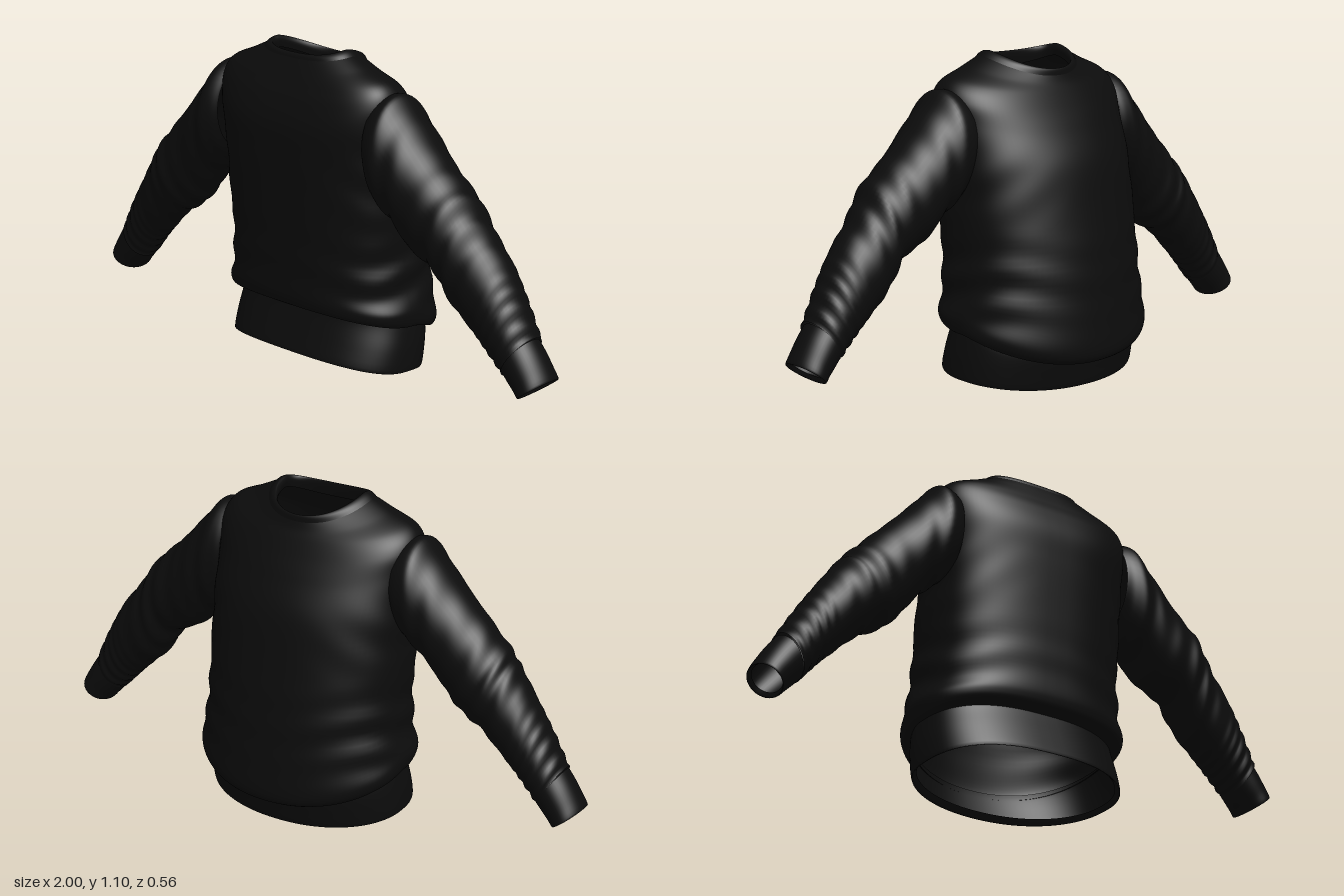
import * as THREE from 'three';

const fabric = new THREE.MeshStandardMaterial({ color: 0x0c0c0c, side: THREE.DoubleSide });
fabric.name = 'black fabric';

// Smooth interpolation through rows of numbers, t in 0..1
function sampleRows(rows, t) {
  const f = t * (rows.length - 1);
  const i = Math.min(Math.floor(f), rows.length - 2);
  const u = f - i;
  const at = k => rows[Math.max(0, Math.min(rows.length - 1, k))];
  return rows[0].map((_, k) => {
    const [a, b, c, d] = [at(i - 1)[k], at(i)[k], at(i + 1)[k], at(i + 2)[k]];
    return b + 0.5 * u * (c - a + u * (2 * a - 5 * b + 4 * c - d + u * (3 * (b - c) + d - a)));
  });
}

// Open tube of cross-sections; point(row, angle, t) returns [x, y, z]
function loft(name, rows, steps, sides, point) {
  const pos = [], index = [];
  for (let i = 0; i <= steps; i++) {
    const row = sampleRows(rows, i / steps);
    for (let j = 0; j < sides; j++) pos.push(...point(row, (j / sides) * Math.PI * 2, i / steps));
  }
  for (let i = 0; i < steps; i++) {
    for (let j = 0; j < sides; j++) {
      const k = (j + 1) % sides;
      const a = i * sides + j, b = a + sides, c = i * sides + k, d = c + sides;
      index.push(a, b, c, b, d, c);
    }
  }
  const geo = new THREE.BufferGeometry();
  geo.setAttribute('position', new THREE.Float32BufferAttribute(pos, 3));
  geo.setIndex(index);
  geo.computeVertexNormals();
  const mesh = new THREE.Mesh(geo, fabric);
  mesh.name = name;
  return mesh;
}

const bump = (v, centre, width) => Math.exp(-(((v - centre) / width) ** 2));

// Torso ring: half width, side y, side z, front y, front z, back y, back z
function torsoPoint([w, ys, zs, yf, zf, yb, zb], a) {
  const c = Math.cos(a), s = Math.sin(a), front = s > 0;
  const p = front ? 0.78 : 0.95;
  const k = Math.abs(s) ** p;
  const x = w * Math.sign(c) * Math.abs(c) ** p;
  const y = ys + ((front ? yf : yb) - ys) * Math.abs(s) ** 1.3;
  const z = zs + ((front ? zf : zb) - zs) * k;
  return [x, y, z];
}

// Adds shallow cloth folds around the waist and under the arms
function foldedTorsoPoint(row, a) {
  const [x, y, z] = torsoPoint(row, a);
  const side = Math.abs(Math.cos(a)) ** 2;
  const waist = bump(y, 0.36, 0.13) * Math.sin(y * 52 + Math.sin(a * 3) * 1.4);
  const chest = bump(y, 0.68, 0.12) * Math.sin(y * 40 + Math.abs(x) * 30);
  const f = 1 + 0.014 * waist * (0.3 + side) + 0.01 * chest * side;
  return [x * f, y, z * f];
}

const hemRows = [
  [0.35, 0.055, 0.02, 0.1, 0.225, 0.02, -0.18],
  [0.365, 0.04, 0.02, 0.085, 0.245, 0, -0.2],
  [0.366, 0.11, 0.01, 0.15, 0.222, 0.05, -0.215],
  [0.36, 0.17, 0, 0.215, 0.198, 0.09, -0.225],
  [0.355, 0.2, 0, 0.245, 0.19, 0.11, -0.228],
];
const bodyRows = [
  [0.352, 0.19, 0, 0.235, 0.19, 0.09, -0.225],
  [0.378, 0.2, 0, 0.243, 0.235, 0.09, -0.255],
  [0.385, 0.24, 0, 0.27, 0.249, 0.125, -0.28],
  [0.368, 0.3, 0, 0.33, 0.252, 0.25, -0.273],
  [0.356, 0.43, 0.01, 0.45, 0.258, 0.43, -0.257],
  [0.36, 0.6, 0.03, 0.61, 0.268, 0.59, -0.232],
  [0.36, 0.75, 0.05, 0.76, 0.277, 0.74, -0.203],
  [0.365, 0.88, 0.08, 0.86, 0.278, 0.85, -0.155],
  [0.368, 0.96, 0.09, 0.94, 0.257, 0.92, -0.118],
  [0.335, 1.015, 0.1, 0.99, 0.233, 0.965, -0.093],
  [0.25, 1.052, 0.1, 1.035, 0.208, 0.995, -0.075],
  [0.185, 1.082, 0.1, 1.065, 0.19, 1.02, -0.064],
];
const collarRows = [
  [0.187, 1.08, 0.1, 1.063, 0.191, 1.018, -0.065],
  [0.172, 1.094, 0.1, 1.075, 0.187, 1.035, -0.064],
  [0.155, 1.1, 0.1, 1.08, 0.178, 1.04, -0.059],
  [0.147, 1.085, 0.1, 1.062, 0.178, 1.02, -0.058],
  [0.153, 1.06, 0.1, 1.03, 0.185, 0.995, -0.062],
];

// Sleeve ring: upper edge x, y, lower edge x, y, middle z, half depth
const leftSleeve = [
  [0.33, 0.98, 0.33, 0.67, 0.09, 0.125],
  [0.39, 0.985, 0.36, 0.615, 0.095, 0.145],
  [0.48, 0.89, 0.425, 0.575, 0.095, 0.14],
  [0.57, 0.8, 0.49, 0.505, 0.097, 0.132],
  [0.66, 0.72, 0.59, 0.455, 0.097, 0.125],
  [0.73, 0.625, 0.655, 0.36, 0.09, 0.115],
  [0.81, 0.53, 0.73, 0.29, 0.086, 0.105],
  [0.87, 0.43, 0.79, 0.235, 0.085, 0.095],
  [0.93, 0.315, 0.845, 0.18, 0.083, 0.083],
];
const rightSleeve = [
  [0.33, 0.98, 0.33, 0.68, 0.09, 0.125],
  [0.39, 0.985, 0.365, 0.64, 0.095, 0.145],
  [0.48, 0.885, 0.43, 0.585, 0.095, 0.135],
  [0.59, 0.77, 0.49, 0.51, 0.097, 0.125],
  [0.685, 0.67, 0.555, 0.438, 0.097, 0.125],
  [0.735, 0.61, 0.645, 0.385, 0.09, 0.113],
  [0.795, 0.525, 0.735, 0.3, 0.086, 0.102],
  [0.86, 0.425, 0.79, 0.245, 0.085, 0.094],
  [0.925, 0.315, 0.845, 0.18, 0.083, 0.083],
];
const cuffRows = [
  [0.925, 0.31, 0.842, 0.185, 0.083, 0.079],
  [0.952, 0.275, 0.865, 0.16, 0.082, 0.08],
  [0.978, 0.235, 0.887, 0.138, 0.081, 0.08],
  [1, 0.195, 0.905, 0.12, 0.08, 0.081],
  [0.985, 0.2, 0.905, 0.138, 0.08, 0.069],
];

// Elliptical sleeve section with folds at the elbow and bunching at the wrist
function sleevePoint(side, folds) {
  return ([ux, uy, lx, ly, zc, h], a, t) => {
    const c = Math.cos(a), s = -side * Math.sin(a);
    const elbow = bump(t, 0.55, 0.16) * Math.sin(t * 62 + s * 2.2 + c);
    const wrist = bump(t, 0.95, 0.14) * Math.sin(t * 120 + s * 1.5);
    const armpit = bump(t, 0.2, 0.1) * Math.sin(t * 50 + c * 2);
    const f = 1 + folds * (0.032 * elbow + 0.035 * wrist + 0.02 * armpit);
    const x = (ux + lx) / 2 + (ux - lx) / 2 * c * f;
    const y = (uy + ly) / 2 + (uy - ly) / 2 * c * f;
    return [side * x, y, zc + h * s * f];
  };
}

export function createModel() {
  const model = new THREE.Group();
  model.name = 'sweatshirt';
  model.add(
    loft('hemBand', hemRows, 16, 96, torsoPoint),
    loft('body', bodyRows, 88, 96, foldedTorsoPoint),
    loft('collar', collarRows, 16, 96, torsoPoint),
  );
  for (const [label, side, rows] of [['left', 1, leftSleeve], ['right', -1, rightSleeve]]) {
    model.add(
      loft(label + 'Sleeve', rows, 96, 48, sleevePoint(side, 1)),
      loft(label + 'Cuff', cuffRows, 16, 48, sleevePoint(side, 0)),
    );
  }
  return model;
}
